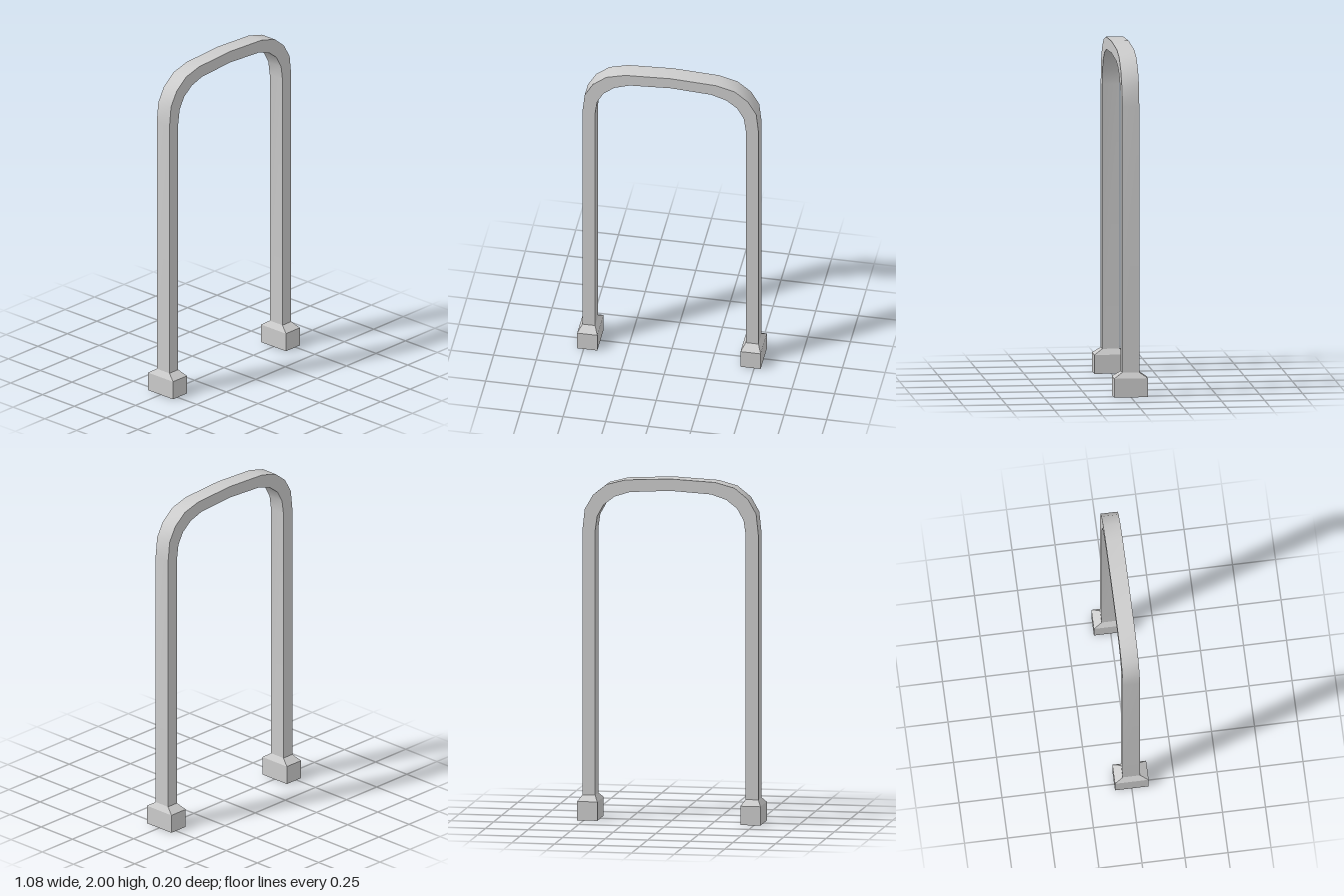
import * as THREE from 'three';
import { toCreasedNormals } from 'three/addons/utils/BufferGeometryUtils.js';

// Skins a list of four-cornered rings, leaving both ends open.
function loft(rings, crease) {
  const index = [];
  for (let i = 0; i < rings.length - 1; i++) {
    for (let j = 0; j < 4; j++) {
      const k = (j + 1) % 4;
      const a = i * 4 + j, b = i * 4 + k;
      index.push(a, b, b + 4, a, b + 4, a + 4);
    }
  }
  const geometry = new THREE.BufferGeometry();
  geometry.setAttribute('position', new THREE.Float32BufferAttribute(rings.flat(2), 3));
  geometry.setIndex(index);
  return toCreasedNormals(geometry, crease);
}

export function createModel() {
  const group = new THREE.Group();
  const material = new THREE.MeshStandardMaterial({ color: 0xcccccc, side: THREE.DoubleSide });

  function add(name, geometry, x = 0) {
    const mesh = new THREE.Mesh(geometry, material);
    mesh.name = name;
    mesh.position.x = x;
    group.add(mesh);
  }

  // Half of the arch: outer x, y and inner x, y, from the ground to the crown
  const half = [
    [0.516, 0, 0.442, 0],
    [0.516, 1.69, 0.442, 1.685],
    [0.503, 1.81, 0.43, 1.77],
    [0.455, 1.894, 0.392, 1.838],
    [0.376, 1.957, 0.328, 1.888],
    [0.265, 1.987, 0.238, 1.917],
    [0, 2, 0, 1.931],
  ];
  const mirrored = half.slice(0, -1).reverse().map(([ox, oy, ix, iy]) => [-ox, oy, -ix, iy]);
  const depth = 0.05;
  const archRings = [...half, ...mirrored].map(([ox, oy, ix, iy]) => [
    [ox, oy, depth], [ox, oy, -depth], [ix, iy, -depth], [ix, iy, depth],
  ]);
  add('archTube', loft(archRings, 0.6));

  // Feet: bottom rim around the hollow tube, block, and sloped collar (half width, half depth, y)
  const footRings = [
    [0.037, 0.05, 0],
    [0.059, 0.098, 0],
    [0.059, 0.098, 0.11],
    [0.037, 0.05, 0.142],
  ].map(([w, d, y]) => [[w, y, d], [w, y, -d], [-w, y, -d], [-w, y, d]]);
  const footGeometry = loft(footRings, 0.3);
  add('leftFoot', footGeometry, 0.479);
  add('rightFoot', footGeometry, -0.479);

  return group;
}
